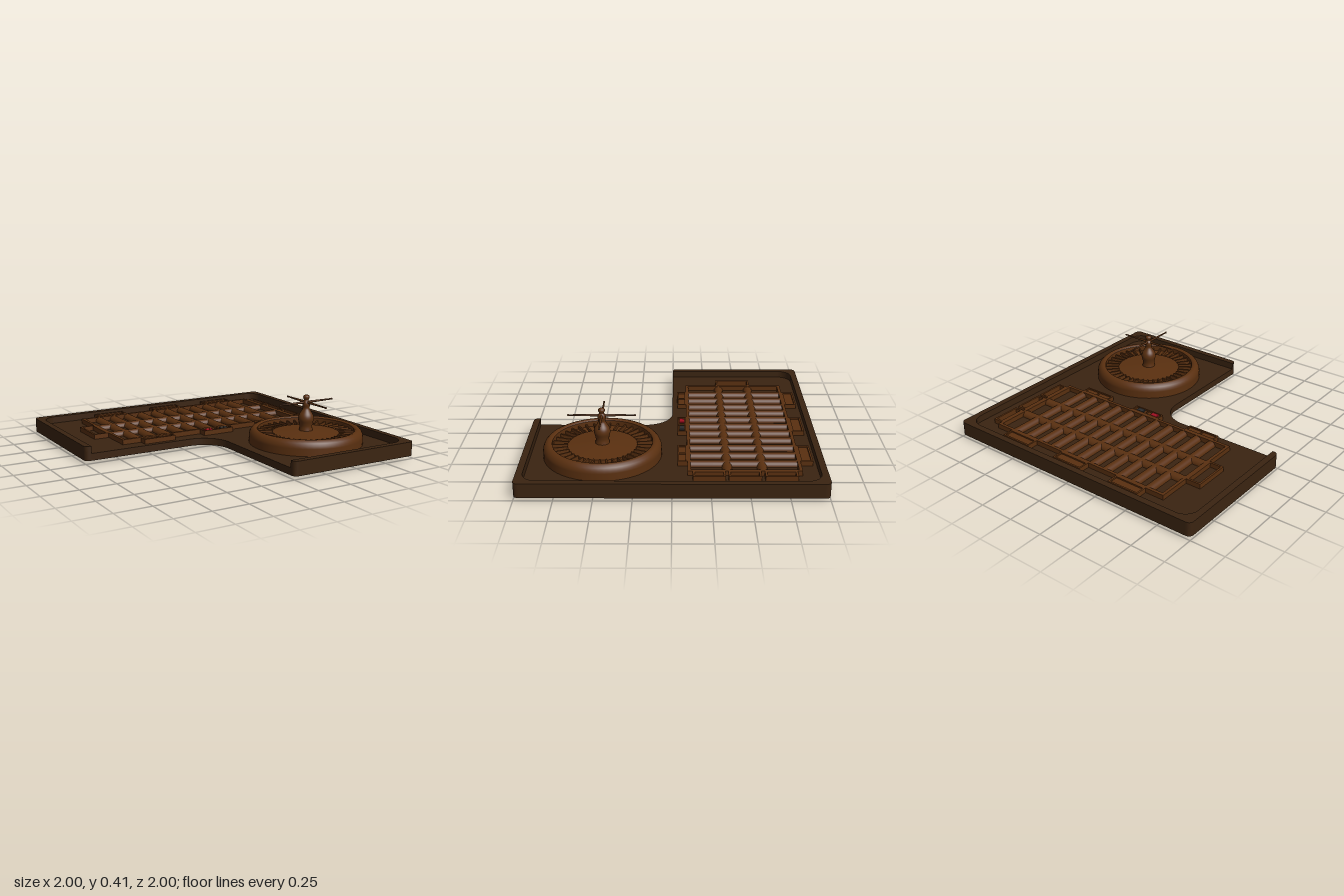
import * as THREE from 'three';

const FLOOR = 0.07, RIM_TOP = 0.12, RAISED = 0.105;

const baize = new THREE.MeshStandardMaterial({ color: 0x3b2411 });
const wood = new THREE.MeshStandardMaterial({ color: 0x5a3010 });
const red = new THREE.MeshStandardMaterial({ color: 0xa01020 });
const black = new THREE.MeshStandardMaterial({ color: 0x2a2a2a });

function add(parent, name, geometry, material, x = 0, y = 0, z = 0) {
  const mesh = new THREE.Mesh(geometry, material);
  mesh.name = name;
  mesh.position.set(x, y, z);
  parent.add(mesh);
  return mesh;
}

// Box given by its x, y and z limits
function block(parent, name, material, x0, x1, y0, y1, z0, z1) {
  return add(parent, name, new THREE.BoxGeometry(x1 - x0, y1 - y0, z1 - z0), material,
    (x0 + x1) / 2, (y0 + y1) / 2, (z0 + z1) / 2);
}

// Plan shape (x, z) raised from y0 to y1
function slab(parent, name, shape, y0, y1) {
  const g = new THREE.ExtrudeGeometry(shape, { depth: y1 - y0, bevelEnabled: false, curveSegments: 16 });
  g.rotateX(Math.PI / 2);
  return add(parent, name, g, baize, 0, y1, 0);
}

// Outer edge of the L, from the left tip round the back to the front tip
function outerEdge(shape, r) {
  shape.moveTo(-1 + r, 0);
  shape.quadraticCurveTo(-1, 0, -1, -r);
  shape.lineTo(-1, -1 + r);
  shape.quadraticCurveTo(-1, -1, -1 + r, -1);
  shape.lineTo(1 - r, -1);
  shape.quadraticCurveTo(1, -1, 1, -1 + r);
  shape.lineTo(1, 1 - r);
  shape.quadraticCurveTo(1, 1, 1 - r, 1);
  shape.lineTo(r, 1);
  shape.quadraticCurveTo(0, 1, 0, 1 - r);
}

function buildTable(group) {
  const top = new THREE.Shape();
  outerEdge(top, 0.04);
  top.lineTo(0, 0.2);
  top.absarc(-0.2, 0.2, 0.2, 0, -Math.PI / 2, true);
  top.closePath();
  slab(group, 'tableTop', top, 0.02, FLOOR);

  // Raised rim, open along the inner corner
  const rim = new THREE.Shape(), e = 0.955, r = 0.1;
  outerEdge(rim, 0.04);
  rim.lineTo(0, e);
  rim.lineTo(e - r, e);
  rim.absarc(e - r, e - r, r, Math.PI / 2, 0, true);
  rim.lineTo(e, -e + r);
  rim.absarc(e - r, -e + r, r, 0, -Math.PI / 2, true);
  rim.lineTo(-e + r, -e);
  rim.absarc(-e + r, -e + r, r, -Math.PI / 2, -Math.PI, true);
  rim.lineTo(-e, 0);
  rim.closePath();
  slab(group, 'tableRim', rim, FLOOR, RIM_TOP);
}

// Rectangular border of four strips
function border(parent, name, x0, x1, z0, z1, w) {
  const y0 = FLOOR, y1 = RAISED;
  block(parent, name, wood, x0, x1, y0, y1, z0, z0 + w);
  block(parent, name, wood, x0, x1, y0, y1, z1 - w, z1);
  block(parent, name, wood, x0, x0 + w, y0, y1, z0 + w, z1 - w);
  block(parent, name, wood, x1 - w, x1, y0, y1, z0 + w, z1 - w);
}

// Half-round divider lying on the table
function ridge(parent, name, length, x, z, alongX) {
  const g = new THREE.CylinderGeometry(0.034, 0.034, length, 16, 1, false, 0, Math.PI);
  g.rotateZ(Math.PI / 2);
  if (!alongX) g.rotateY(Math.PI / 2);
  add(parent, name, g, wood, x, FLOOR, z);
}

function buildLayout(group) {
  const x0 = -0.68, x1 = 0.79, z0 = -0.845, z1 = -0.1;
  border(group, 'gridBorder', x0, x1, z0, z1, 0.022);
  for (const z of [-0.59, -0.36]) ridge(group, 'rowDivider', x1 - x0 - 0.02, (x0 + x1) / 2, z, true);
  for (let i = 0; i < 11; i++) ridge(group, 'columnDivider', z1 - z0 - 0.02, -0.54 + i * 0.118, (z0 + z1) / 2, false);

  // Betting boxes around the grid
  border(group, 'endBox', -0.79, x0, -0.605, -0.34, 0.014);
  for (const z of [-0.81, -0.575, -0.345]) border(group, 'columnBox', x1, 0.865, z, z + 0.212, 0.014);
  for (const x of [-0.54, -0.06, 0.41]) {
    border(group, 'backBox', x, x + 0.24, -0.93, z0, 0.012);
    block(group, 'backBoxPanel', wood, x + 0.012, x + 0.228, FLOOR, 0.095, -0.918, z0 - 0.012);
    border(group, 'frontBox', x, x + 0.24, z1, -0.035, 0.01);
    block(group, 'frontBoxPanel', wood, x + 0.01, x + 0.23, FLOOR, 0.095, z1 + 0.01, -0.045);
    block(group, 'frontBoxDivider', wood, x + 0.116, x + 0.124, FLOOR, RAISED, z1, -0.035);
  }
  block(group, 'redMarker', red, -0.032, 0.022, 0.09, RAISED, -0.086, -0.05);
  block(group, 'blackMarker', black, 0.09, 0.146, 0.09, RAISED, -0.086, -0.05);
}

function lathe(parent, name, points, segments) {
  const g = new THREE.LatheGeometry(points.map(([r, y]) => new THREE.Vector2(r, y)), segments);
  return add(parent, name, g, wood);
}

function buildWheel(group) {
  group.position.set(0.47, 0, 0.47);
  lathe(group, 'wheelBowl', [[0, 0], [0.4, 0], [0.4, 0], [0.4, 0.12], [0.397, 0.138], [0.388, 0.156],
    [0.375, 0.169], [0.36, 0.175], [0.345, 0.172], [0.338, 0.165], [0.338, 0.165], [0.338, 0.125], [0.338, 0.125],
    [0.236, 0.118], [0.236, 0.118], [0.236, 0.138], [0.236, 0.138], [0.06, 0.155], [0, 0.157]], 64);

  // Pocket separators
  const frets = new THREE.Group();
  frets.name = 'pocketSeparators';
  group.add(frets);
  for (let i = 0; i < 37; i++) {
    const arm = new THREE.Group();
    arm.name = 'separator';
    arm.rotation.y = i / 37 * Math.PI * 2;
    block(arm, 'separatorBlade', wood, 0.234, 0.34, 0.115, 0.146, -0.005, 0.005);
    frets.add(arm);
  }

  // Turned centre post with a ball finial
  const curve = new THREE.SplineCurve([[0.05, 0.145], [0.045, 0.18], [0.048, 0.205], [0.055, 0.235], [0.05, 0.265],
    [0.032, 0.295], [0.024, 0.315], [0.028, 0.34], [0.025, 0.358], [0.015, 0.37], [0.022, 0.385],
    [0.02, 0.4], [0.001, 0.41]].map(([r, y]) => new THREE.Vector2(r, y)));
  add(group, 'centrePost', new THREE.LatheGeometry(curve.getPoints(48), 32), wood);

  // Four slender handles
  for (let i = 0; i < 4; i++) {
    const g = new THREE.CylinderGeometry(0.005, 0.009, 0.225, 10);
    g.rotateZ(-Math.PI / 2).translate(0.1125, 0.355, 0);
    add(group, 'handle', g, wood).rotation.y = i * Math.PI / 2;
    const tip = new THREE.SphereGeometry(0.007, 10, 8).translate(0.223, 0.355, 0);
    add(group, 'handleTip', tip, wood).rotation.y = i * Math.PI / 2;
  }
}

export function createModel() {
  const model = new THREE.Group();
  model.name = 'rouletteTable';
  for (const [name, build] of [['table', buildTable], ['bettingLayout', buildLayout], ['wheel', buildWheel]]) {
    const part = new THREE.Group();
    part.name = name;
    build(part);
    model.add(part);
  }
  return model;
}
